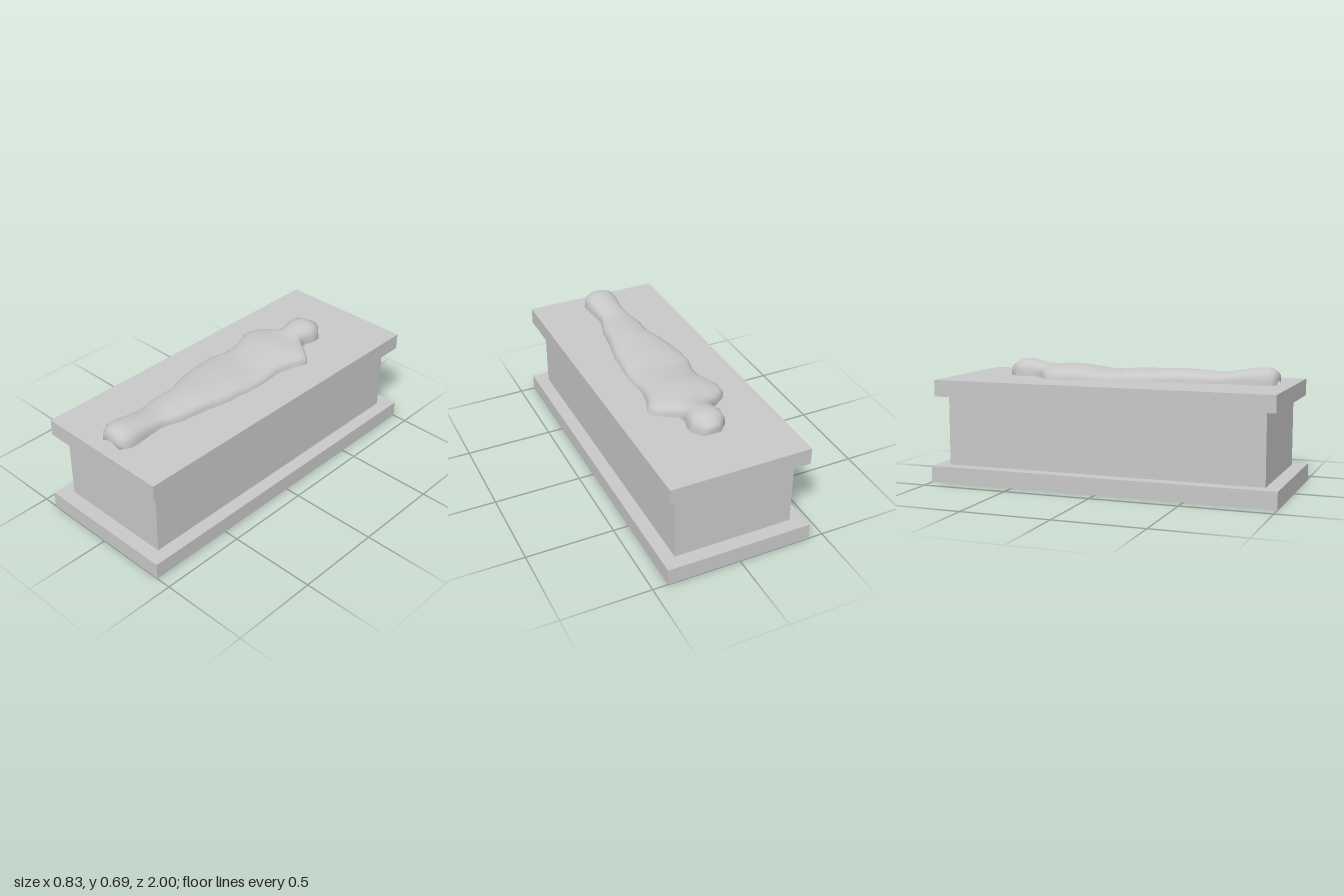
import * as THREE from 'three';

const stone = new THREE.MeshStandardMaterial({ color: 0xc8c8c8 });
stone.name = 'paleStone';

// Stations along the body: z, right edge (-x), left edge (+x), crest height
const stations = [
  [-0.665, -0.045, 0.05, 0.655], [-0.61, -0.098, 0.098, 0.686], [-0.56, -0.103, 0.1, 0.692],
  [-0.505, -0.088, 0.083, 0.68], [-0.46, -0.1, 0.096, 0.669], [-0.425, -0.155, 0.155, 0.664],
  [-0.39, -0.2, 0.2, 0.663], [-0.355, -0.222, 0.228, 0.666], [-0.3, -0.222, 0.207, 0.668],
  [-0.24, -0.195, 0.187, 0.666], [-0.16, -0.17, 0.175, 0.658], [-0.08, -0.177, 0.182, 0.646],
  [0, -0.197, 0.187, 0.645], [0.08, -0.19, 0.182, 0.655], [0.16, -0.176, 0.17, 0.657],
  [0.21, -0.17, 0.172, 0.656], [0.29, -0.15, 0.155, 0.66], [0.37, -0.118, 0.138, 0.662],
  [0.505, -0.118, 0.12, 0.656], [0.58, -0.105, 0.096, 0.651], [0.64, -0.09, 0.082, 0.656],
  [0.73, -0.09, 0.09, 0.672], [0.8, -0.098, 0.098, 0.683], [0.855, -0.098, 0.097, 0.685],
  [0.885, -0.08, 0.08, 0.672], [0.905, -0.062, 0.062, 0.655],
];

// Half cross-section: share of the half width, share of the height
const half = [[1, 0], [0.98, 0.22], [0.94, 0.48], [0.84, 0.68], [0.66, 0.84], [0.42, 0.94], [0.2, 0.985]];
const profile = [...half, [0, 1], ...half.map(([u, v]) => [-u, v]).reverse()];

function effigyGeometry(floor) {
  const positions = [], index = [], n = profile.length;
  const ring = ([z, x0, x1, top], scale) => {
    const cx = (x0 + x1) / 2, w = (x1 - x0) / 2, h = top - floor;
    for (const [u, v] of profile) {
      positions.push(cx + u * w * scale, floor + h * (v * scale + 0.35 * (1 - scale)), z);
    }
  };
  // A collapsed ring closes each end
  ring(stations[0], 0);
  stations.forEach((s) => ring(s, 1));
  ring(stations[stations.length - 1], 0);
  for (let i = 0; i < stations.length + 1; i++) {
    for (let j = 0; j < n - 1; j++) {
      const a = i * n + j, b = a + n;
      index.push(a, a + 1, b, b, a + 1, b + 1);
    }
    // Ends below the last profile points
    if (i === 0) index.push(0, n, 2 * n - 1);
    if (i === stations.length) index.push(i * n, i * n + n - 1, (i + 1) * n);
  }
  const g = new THREE.BufferGeometry();
  g.setAttribute('position', new THREE.Float32BufferAttribute(positions, 3));
  g.setIndex(index);
  g.computeVertexNormals();
  return g;
}

// Flat underside following the same outline
function undersideGeometry(floor) {
  const outline = [
    ...stations.map(([z, x0]) => new THREE.Vector2(x0, z)),
    ...stations.map(([z, , x1]) => new THREE.Vector2(x1, z)).reverse(),
  ];
  return new THREE.ShapeGeometry(new THREE.Shape(outline)).rotateX(Math.PI / 2).translate(0, floor, 0);
}

export function createModel() {
  const model = new THREE.Group();
  model.name = 'tomb';
  const add = (name, geometry, parent = model) => {
    const mesh = new THREE.Mesh(geometry, stone);
    mesh.name = name;
    parent.add(mesh);
  };

  // Stacked slabs: width, depth, bottom, top
  const slabs = {
    basePlinth: [0.828, 2, 0, 0.095],
    chest: [0.678, 1.84, 0.095, 0.493],
    lid: [0.794, 1.96, 0.493, 0.587],
  };
  for (const [name, [w, d, y0, y1]] of Object.entries(slabs)) {
    add(name, new THREE.BoxGeometry(w, y1 - y0, d).translate(0, (y0 + y1) / 2, 0));
  }

  // Shrouded figure lying on the lid, feet to the front
  const effigy = new THREE.Group();
  effigy.name = 'effigy';
  add('shroud', effigyGeometry(0.595), effigy);
  add('underside', undersideGeometry(0.595), effigy);
  model.add(effigy);
  return model;
}
